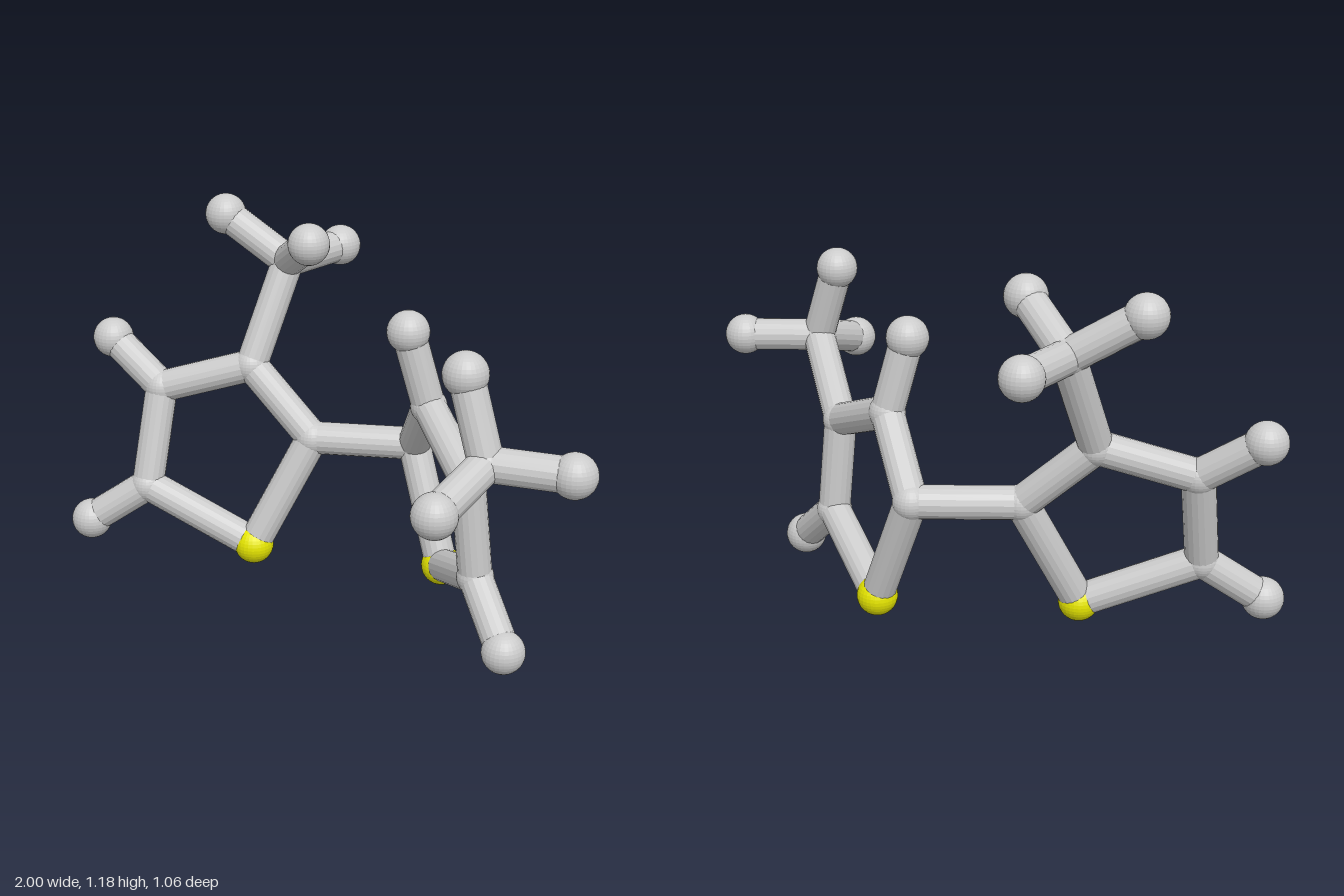
import * as THREE from 'three';

const STICK = 0.053;
const RADIUS = { carbon: 0.058, hydrogen: 0.067, sulfur: 0.065 };

// Atom centres: [kind, x, y, z]
const ATOMS = {
  // left-hand ring (-x)
  s1: ['sulfur', -0.37, 0.085, 0.04],
  a1: ['carbon', -0.245, 0.45, -0.115],
  a2: ['carbon', -0.47, 0.66, -0.07],
  a3: ['carbon', -0.735, 0.565, 0.085],
  a4: ['carbon', -0.72, 0.245, 0.18],
  ha3: ['hydrogen', -0.933, 0.70, 0.11],
  ha4: ['hydrogen', -0.885, 0.11, 0.29],
  // methyl group on the left-hand ring
  am: ['carbon', -0.445, 0.985, -0.225],
  am1: ['hydrogen', -0.655, 1.12, -0.157],
  am2: ['hydrogen', -0.25, 1.105, -0.11],
  am3: ['hydrogen', -0.423, 0.99, -0.462],
  // right-hand ring (+x)
  s2: ['sulfur', 0.2, 0.086, -0.238],
  b1: ['carbon', 0.045, 0.455, -0.283],
  b2: ['carbon', 0.21, 0.67, -0.145],
  b3: ['carbon', 0.485, 0.543, 0.01],
  b4: ['carbon', 0.505, 0.23, -0.01],
  hb2: ['hydrogen', 0.157, 0.91, -0.106],
  hb4: ['hydrogen', 0.68, 0.07, 0.077],
  // methyl group on the right-hand ring
  bm: ['carbon', 0.705, 0.735, 0.225],
  bm1: ['hydrogen', 0.622, 0.98, 0.22],
  bm2: ['hydrogen', 0.932, 0.73, 0.123],
  bm3: ['hydrogen', 0.708, 0.66, 0.46],
};

// Bonds by part
const BONDS = {
  leftRingBond: 's1-a1 a1-a2 a2-a3 a3-a4 a4-s1',
  rightRingBond: 's2-b1 b1-b2 b2-b3 b3-b4 b4-s2',
  bridgeBond: 'a1-b1',
  hydrogenBond: 'a3-ha3 a4-ha4 b2-hb2 b4-hb4',
  leftMethylBond: 'a2-am am-am1 am-am2 am-am3',
  rightMethylBond: 'b3-bm bm-bm1 bm-bm2 bm-bm3',
};

export function createModel() {
  const model = new THREE.Group();
  model.name = 'ballAndStickMolecule';
  const grey = new THREE.MeshStandardMaterial({ color: 0xcccccc, flatShading: true });
  const yellow = new THREE.MeshStandardMaterial({ color: 0xe6e600, flatShading: true });
  const ball = new THREE.SphereGeometry(1, 28, 18);
  const stick = new THREE.CylinderGeometry(STICK, STICK, 1, 18);
  const up = new THREE.Vector3(0, 1, 0);
  const centre = (id) => new THREE.Vector3(...ATOMS[id].slice(1));

  // Atom balls
  for (const id of Object.keys(ATOMS)) {
    const kind = ATOMS[id][0];
    const atom = new THREE.Mesh(ball, kind === 'sulfur' ? yellow : grey);
    atom.name = kind + 'Atom';
    atom.position.copy(centre(id));
    atom.scale.setScalar(RADIUS[kind]);
    model.add(atom);
  }

  // Bond sticks, each running between two atom centres
  for (const [name, pairs] of Object.entries(BONDS)) {
    for (const pair of pairs.split(' ')) {
      const [from, to] = pair.split('-').map(centre);
      const along = to.clone().sub(from);
      const bond = new THREE.Mesh(stick, grey);
      bond.name = name;
      bond.position.copy(from).add(to).multiplyScalar(0.5);
      bond.scale.y = along.length();
      bond.quaternion.setFromUnitVectors(up, along.normalize());
      model.add(bond);
    }
  }
  return model;
}
